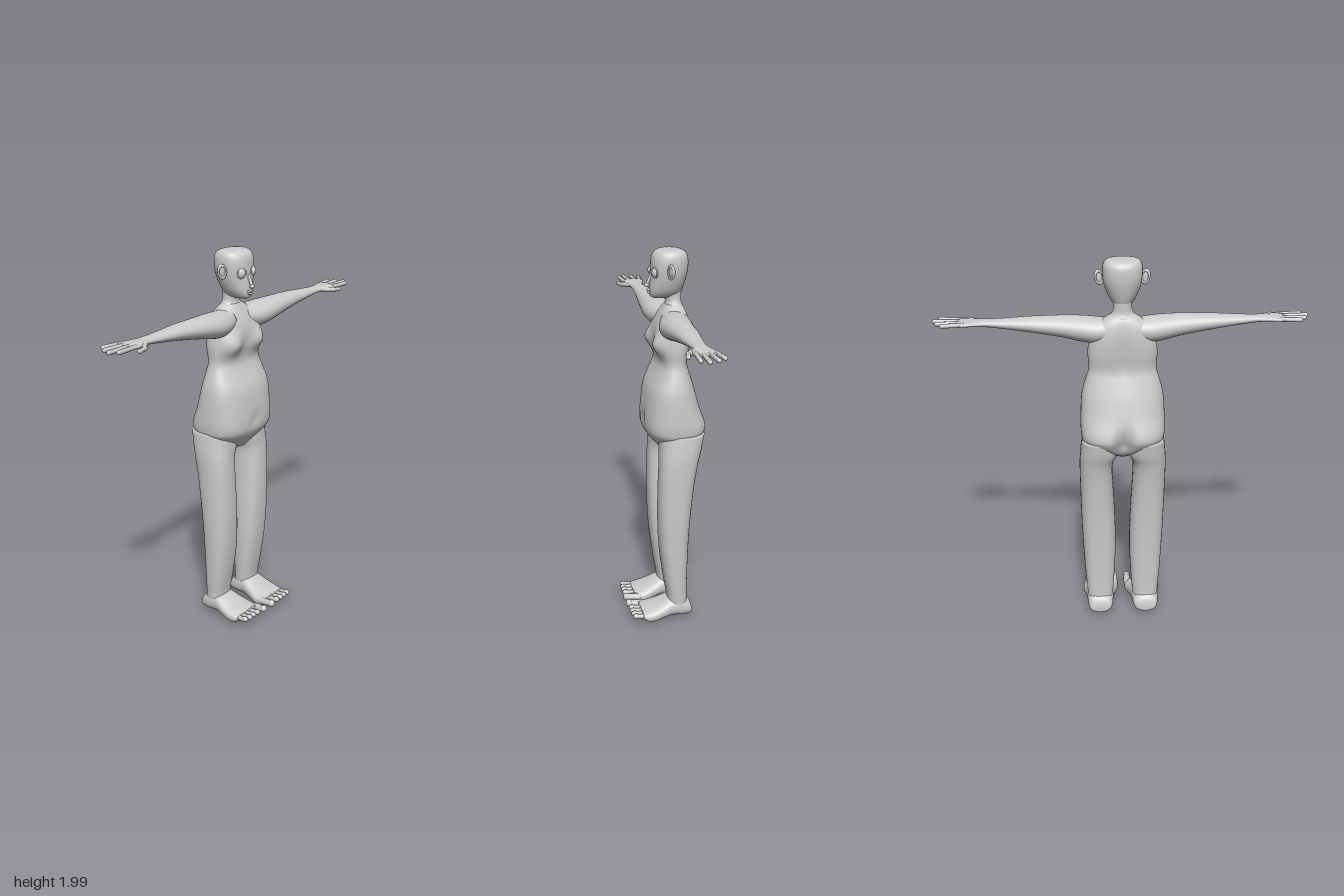
import * as THREE from 'three';

const material = new THREE.MeshStandardMaterial({ color: 0xcccccc });

const spline = (a, b, c, d, t) => b + 0.5 * t * (c - a + t * (2 * a - 5 * b + 4 * c - d + t * (3 * (b - c) + d - a)));

// Smooth skin through rows of [t, u0, u1, v0, v1, power], t rising along the axis.
// Axis y: u = x, v = z. Axis x: u = y, v = z. Axis z: u = x, v = y.
function loft(rows, axis, { segs = 32, steps = 4, deform } = {}) {
  const rings = [];
  const row = (i) => rows[Math.min(Math.max(i, 0), rows.length - 1)];
  for (let i = 0; i < rows.length - 1; i++) {
    const last = i === rows.length - 2;
    for (let s = 0; s < steps + (last ? 1 : 0); s++) {
      rings.push(rows[0].map((_, k) => spline(row(i - 1)[k], row(i)[k], row(i + 1)[k], row(i + 2)[k], s / steps)));
    }
  }
  const pos = [], index = [];
  const put = (t, u, v) => {
    const p = axis === 'y' ? new THREE.Vector3(u, t, v) : axis === 'x' ? new THREE.Vector3(t, u, v) : new THREE.Vector3(u, v, t);
    if (deform) deform(p);
    pos.push(p.x, p.y, p.z);
  };
  const tri = (a, b, c) => (axis === 'y' ? index.push(a, b, c) : index.push(a, c, b));
  const bend = (w, n) => Math.sign(w) * Math.abs(w) ** (2 / n);
  for (const [t, u0, u1, v0, v1, n] of rings) {
    for (let j = 0; j < segs; j++) {
      const a = (j / segs) * Math.PI * 2;
      put(t, (u0 + u1) / 2 + ((u1 - u0) / 2) * bend(Math.cos(a), n), (v0 + v1) / 2 + ((v1 - v0) / 2) * bend(Math.sin(a), n));
    }
  }
  const top = rings.length - 1;
  for (const r of [rings[0], rings[top]]) put(r[0], (r[1] + r[2]) / 2, (r[3] + r[4]) / 2);
  const c0 = rings.length * segs;
  for (let j = 0; j < segs; j++) {
    const k = (j + 1) % segs;
    for (let i = 0; i < top; i++) {
      const a = i * segs + j, b = i * segs + k;
      tri(a, a + segs, b);
      tri(b, a + segs, b + segs);
    }
    tri(c0, j, k);
    tri(c0 + 1, top * segs + k, top * segs + j);
  }
  const geo = new THREE.BufferGeometry();
  geo.setAttribute('position', new THREE.Float32BufferAttribute(pos, 3));
  geo.setIndex(index);
  geo.computeVertexNormals();
  return geo;
}

// Rounded rod from a to b
function rod(a, b, radius) {
  const from = new THREE.Vector3(...a), to = new THREE.Vector3(...b);
  const dir = to.clone().sub(from);
  const turn = new THREE.Quaternion().setFromUnitVectors(new THREE.Vector3(0, 1, 0), dir.clone().normalize());
  const mid = from.add(to).multiplyScalar(0.5);
  return new THREE.CapsuleGeometry(radius, dir.length(), 5, 12).applyQuaternion(turn).translate(mid.x, mid.y, mid.z);
}

const blob = (x, y, z, rx, ry, rz) => new THREE.SphereGeometry(1, 20, 14).scale(rx, ry, rz).translate(x, y, z);

// Copy reflected to the other side, with its faces turned back outward
function mirrored(geo) {
  const copy = geo.clone().scale(-1, 1, 1);
  const ix = copy.index.array;
  for (let i = 0; i < ix.length; i += 3) [ix[i + 1], ix[i + 2]] = [ix[i + 2], ix[i + 1]];
  copy.computeVertexNormals();
  return copy;
}

const bump = (d, w) => Math.exp(-((d / w) ** 2));

export function createModel() {
  const model = new THREE.Group();
  model.name = 'figure';
  const add = (name, geo) => {
    const mesh = new THREE.Mesh(geo, material);
    mesh.name = name;
    model.add(mesh);
  };
  const addPair = (name, geo) => {
    add('left' + name, geo);
    add('right' + name, mirrored(geo));
  };

  // Torso: chest swelling, navel and the cleft between the buttocks
  const wide = (y, w, back, front, n) => [y, -w, w, back, front, n];
  add('torso', loft([
    wide(0.965, 0.06, -0.1, 0.02, 2), wide(1.0, 0.13, -0.16, 0.05, 2.2), wide(1.05, 0.2, -0.2, 0.088, 2.6),
    wide(1.1, 0.216, -0.215, 0.104, 2.8), wide(1.2, 0.216, -0.182, 0.1, 2.6), wide(1.3, 0.209, -0.155, 0.085, 2.5),
    wide(1.38, 0.188, -0.13, 0.05, 2.5), wide(1.44, 0.172, -0.115, 0.03, 2.5), wide(1.52, 0.176, -0.125, 0.04, 2.6),
    wide(1.6, 0.168, -0.13, 0.04, 2.5), wide(1.66, 0.15, -0.125, 0.02, 2.4), wide(1.7, 0.1, -0.115, 0, 2.2),
    wide(1.725, 0.06, -0.1, -0.015, 2),
  ], 'y', {
    segs: 64,
    deform: (p) => {
      if (p.z > 0) {
        p.z += 0.035 * bump(Math.abs(p.x) - 0.1, 0.055) * bump(p.y - 1.535, 0.05);
        p.z -= 0.012 * bump(p.x, 0.015) * bump(p.y - 1.13, 0.03);
      } else if (p.z < -0.1) {
        p.z += 0.06 * bump(p.x, 0.035) * bump(p.y - 1.07, 0.07);
        p.z += 0.012 * bump(p.x, 0.03) * bump(p.y - 1.5, 0.15);
      }
    },
  }));

  // Neck and head
  add('neck', loft([
    wide(1.66, 0.11, -0.11, 0, 2), wide(1.705, 0.085, -0.11, -0.005, 2), wide(1.735, 0.052, -0.1, -0.018, 2),
    wide(1.78, 0.046, -0.1, -0.01, 2), wide(1.83, 0.05, -0.1, 0, 2),
  ], 'y'));
  add('head', loft([
    wide(1.757, 0.022, -0.06, 0.045, 2), wide(1.77, 0.044, -0.09, 0.062, 2), wide(1.8, 0.066, -0.105, 0.064, 2.1),
    wide(1.85, 0.086, -0.12, 0.058, 2.2), wide(1.9, 0.097, -0.13, 0.055, 2.3), wide(1.95, 0.099, -0.131, 0.052, 2.3),
    wide(1.98, 0.092, -0.122, 0.04, 2.3), wide(1.995, 0.076, -0.1, 0.018, 2.2), wide(2.0, 0.04, -0.07, -0.015, 2),
  ], 'y', { segs: 40 }));

  // Face
  addPair('Eye', blob(0.042, 1.89, 0.04, 0.025, 0.028, 0.02));
  addPair('Iris', blob(0.042, 1.89, 0.054, 0.013, 0.014, 0.009));
  addPair('EyeRim', new THREE.TorusGeometry(0.026, 0.004, 8, 24).rotateY(0.3).translate(0.042, 1.89, 0.045));
  add('noseBridge', rod([0, 1.875, 0.054], [0, 1.828, 0.074], 0.008));
  add('noseTip', blob(0, 1.823, 0.076, 0.013, 0.01, 0.013));
  add('upperLip', blob(0, 1.797, 0.063, 0.021, 0.006, 0.014));
  add('lowerLip', blob(0, 1.785, 0.062, 0.018, 0.007, 0.013));

  // Ears
  const earTurn = (g) => g.scale(0.72, 1.15, 1).rotateY(0.45).rotateZ(-0.18).translate(0.115, 1.902, -0.022);
  addPair('EarRim', earTurn(new THREE.TorusGeometry(0.027, 0.008, 8, 24)));
  addPair('EarBowl', earTurn(new THREE.SphereGeometry(1, 16, 10).scale(0.027, 0.027, 0.008)));

  // Arm with palm, lofted outward from the shoulder
  addPair('Arm', loft([
    [0.05, 1.59, 1.7, -0.115, 0.02, 2], [0.13, 1.575, 1.705, -0.122, 0.045, 2], [0.2, 1.58, 1.709, -0.112, 0.054, 2],
    [0.3, 1.602, 1.71, -0.094, 0.05, 2], [0.45, 1.628, 1.707, -0.077, 0.036, 2], [0.6, 1.649, 1.698, -0.057, 0.024, 2],
    [0.68, 1.658, 1.695, -0.05, 0.022, 2], [0.74, 1.663, 1.693, -0.062, 0.04, 2.2], [0.79, 1.667, 1.691, -0.074, 0.046, 2.5],
    [0.82, 1.671, 1.688, -0.07, 0.042, 2.5],
  ], 'x'));
  [[-0.058, 0.89, -0.07], [-0.028, 0.918, -0.034], [0.004, 0.934, 0.01], [0.033, 0.905, 0.043]].forEach(([z0, x1, z1], i) =>
    addPair('Finger' + (i + 1), rod([0.79, 1.68, z0], [x1, 1.681, z1], 0.011)));
  addPair('ThumbBase', rod([0.71, 1.675, 0.015], [0.76, 1.671, 0.058], 0.014));
  addPair('ThumbTip', rod([0.76, 1.671, 0.06], [0.802, 1.669, 0.07], 0.011));

  // Leg
  addPair('Leg', loft([
    [0.07, 0.058, 0.192, -0.11, 0.0, 2.3], [0.14, 0.052, 0.195, -0.106, 0.002, 2.4], [0.25, 0.044, 0.204, -0.106, 0.02, 2.5],
    [0.42, 0.037, 0.214, -0.11, 0.042, 2.5], [0.6, 0.041, 0.221, -0.12, 0.051, 2.5], [0.8, 0.051, 0.225, -0.14, 0.05, 2.5],
    [0.92, 0.052, 0.226, -0.16, 0.045, 2.5], [0.99, 0.025, 0.222, -0.18, 0.042, 2.5], [1.07, 0.03, 0.213, -0.195, 0.04, 2.5],
  ], 'y'));

  // Foot, lofted from heel to the ball
  addPair('Foot', loft([
    [-0.132, 0.09, 0.165, 0.028, 0.06, 2], [-0.12, 0.064, 0.186, 0.02, 0.1, 2.2], [-0.08, 0.054, 0.195, 0.018, 0.13, 2.4],
    [-0.02, 0.046, 0.197, 0.02, 0.135, 2.3], [0.03, 0.034, 0.207, 0.014, 0.112, 2.3], [0.08, 0.021, 0.214, 0.006, 0.09, 2.4],
    [0.12, 0.02, 0.212, 0.012, 0.078, 2.5], [0.145, 0.026, 0.204, 0.032, 0.07, 2.5],
  ], 'z'));
  [[0.036, 0.02, 0.194], [0.088, 0.014, 0.188], [0.122, 0.014, 0.188], [0.155, 0.014, 0.187], [0.187, 0.014, 0.184]].forEach(([x, r, z], i) => {
    addPair('Toe' + (i + 1), rod([x, 0.05, 0.12], [x, 0.056, z - 0.005], r * 0.9));
    addPair('ToeTip' + (i + 1), blob(x, 0.058, z, r, r, 0.018));
  });

  return model;
}
